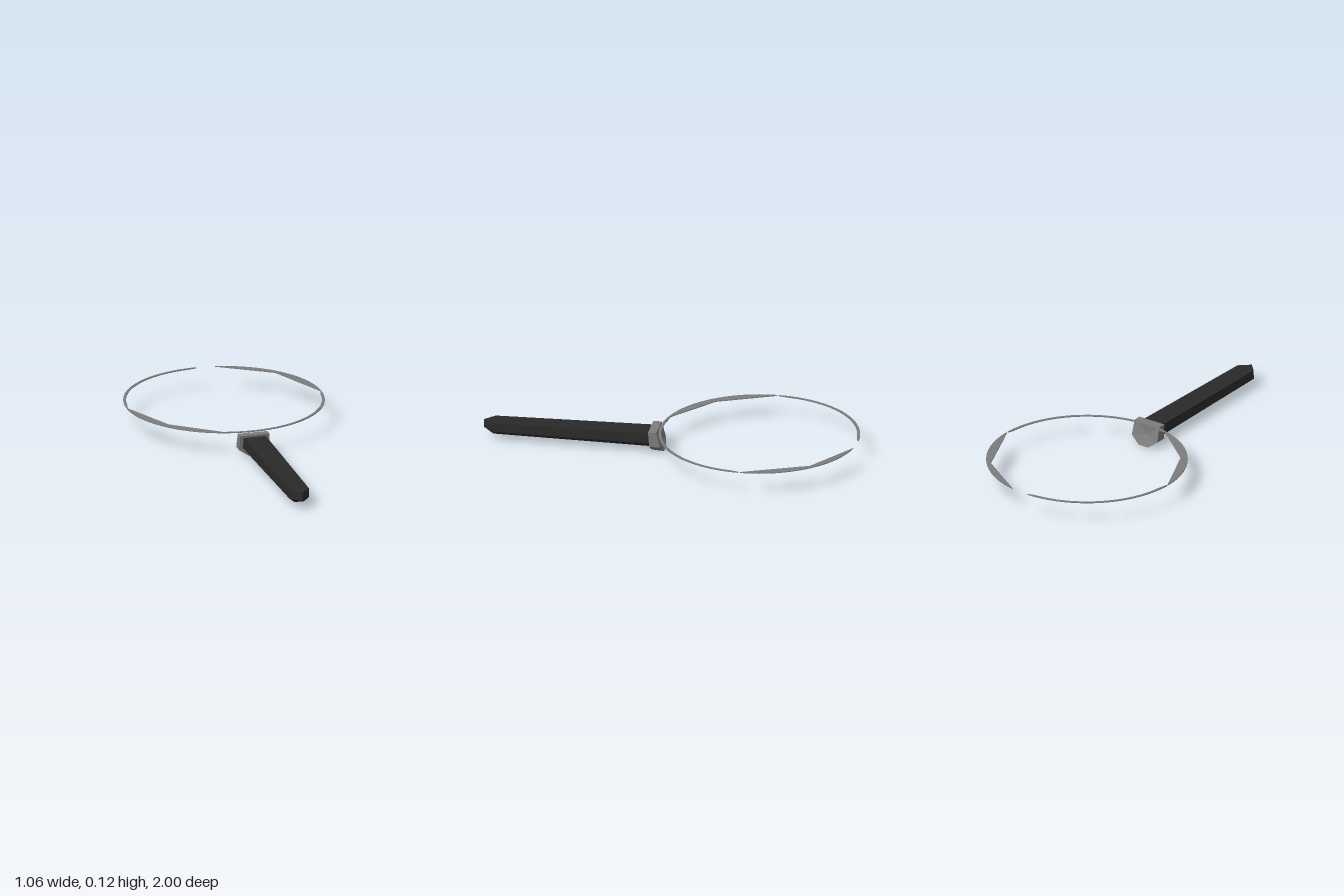
import * as THREE from 'three';

const metal = new THREE.MeshStandardMaterial({ color: 0x7c7c7c, flatShading: true });
metal.name = 'grey metal';
const black = new THREE.MeshStandardMaterial({ color: 0x2a2a2a, flatShading: true });
black.name = 'black grip';

const RADIUS = 0.53, CENTRE_Z = -0.47;
const rad = THREE.MathUtils.degToRad;
const onCircle = (r, deg) => [r * Math.cos(rad(deg)), CENTRE_Z + r * Math.sin(rad(deg))];

// Thin flat plate: outer edge follows the rim from a to b degrees, inner edge is a list of [x, z]
function rimPlate(name, a, b, inner) {
  const pts = [];
  const steps = Math.ceil(Math.abs(b - a) / 5);
  for (let i = 0; i <= steps; i++) pts.push(onCircle(RADIUS, a + (b - a) * i / steps));
  pts.push(...inner);
  const shape = new THREE.Shape(pts.map(([x, z]) => new THREE.Vector2(x, z)));
  const geo = new THREE.ExtrudeGeometry(shape, { depth: 0.004, bevelEnabled: false });
  geo.rotateX(Math.PI / 2);
  const mesh = new THREE.Mesh(geo, metal);
  mesh.name = name;
  mesh.position.y = 0.124;
  return mesh;
}

// Inner edge of a narrow band, running back from b to a with tapered ends
function bandEdge(a, b, width) {
  const pts = [];
  const n = Math.ceil((b - a) / 5);
  for (let i = 0; i <= n; i++) {
    const t = i / n;
    const w = i === 0 || i === n ? width * 0.4 : width;
    pts.push(onCircle(RADIUS - w, b + (a - b) * t));
  }
  return pts;
}

// Flat-faced loft through sections of [x, y, z], each closed by a fan to a cap point
function loft(name, sections, startCap, endCap, material) {
  const pos = [];
  const tri = (...p) => p.forEach((v) => pos.push(...v));
  const n = sections[0].length;
  const last = sections[sections.length - 1];
  for (let i = 0; i < n; i++) {
    const j = (i + 1) % n;
    for (let s = 0; s < sections.length - 1; s++) {
      const p = sections[s], q = sections[s + 1];
      tri(p[i], p[j], q[j]);
      tri(p[i], q[j], q[i]);
    }
    tri(startCap, sections[0][j], sections[0][i]);
    tri(endCap, last[i], last[j]);
  }
  const geo = new THREE.BufferGeometry();
  geo.setAttribute('position', new THREE.Float32BufferAttribute(pos, 3));
  geo.computeVertexNormals();
  const mesh = new THREE.Mesh(geo, material);
  mesh.name = name;
  return mesh;
}

// Six-sided outline with a flat top and chamfered underside, counter-clockwise from the front
function outline(half, bottomHalf, top, side, bottom, zAt) {
  return [[-bottomHalf, bottom], [bottomHalf, bottom], [half, side], [half * 0.97, top],
    [-half * 0.97, top], [-half, side]].map(([x, y]) => [x, y, zAt(y)]);
}

export function createModel() {
  const model = new THREE.Group();
  model.name = 'magnifier';

  // Open hoop: two narrow arcs and two wider faceted arcs
  const rim = new THREE.Group();
  rim.name = 'rim';
  rim.add(
    rimPlate('backLeftArc', 181, 270, bandEdge(181, 270, 0.015)),
    rimPlate('frontArc', 2, 108, bandEdge(2, 108, 0.015)),
    rimPlate('frontFacetArc', 105, 180, [[-0.524, -0.47], [-0.39, -0.168], [-0.145, 0.03]]),
    rimPlate('backFacetArc', -79, 0, [[0.526, -0.46], [0.378, -0.808], [0.11, -0.985]]),
  );
  model.add(rim);

  // Collar with a raked back
  const backRake = (y) => 0.033 + 0.27 * y;
  model.add(loft('collar', [
    outline(0.083, 0.03, 0.12, 0.04, 0, backRake),
    outline(0.083, 0.03, 0.12, 0.04, 0.004, (y) => 0.1 + 0.08 * y),
  ], [0, 0.06, 0.065], [0, 0.065, 0.1], metal));

  // Tapered grip ending in a vertical ridge
  const grip = [
    outline(0.063, 0.028, 0.108, 0.05, 0.022, () => 0.1),
    outline(0.054, 0.026, 0.1, 0.052, 0.03, () => 0.945),
  ];
  const ridge = grip[1].map(([x, y]) => [x * 0.02, THREE.MathUtils.clamp(y, 0.055, 0.097), 1]);
  model.add(loft('handle', [...grip, ridge], [0, 0.065, 0.1], [0, 0.075, 1], black));

  return model;
}
